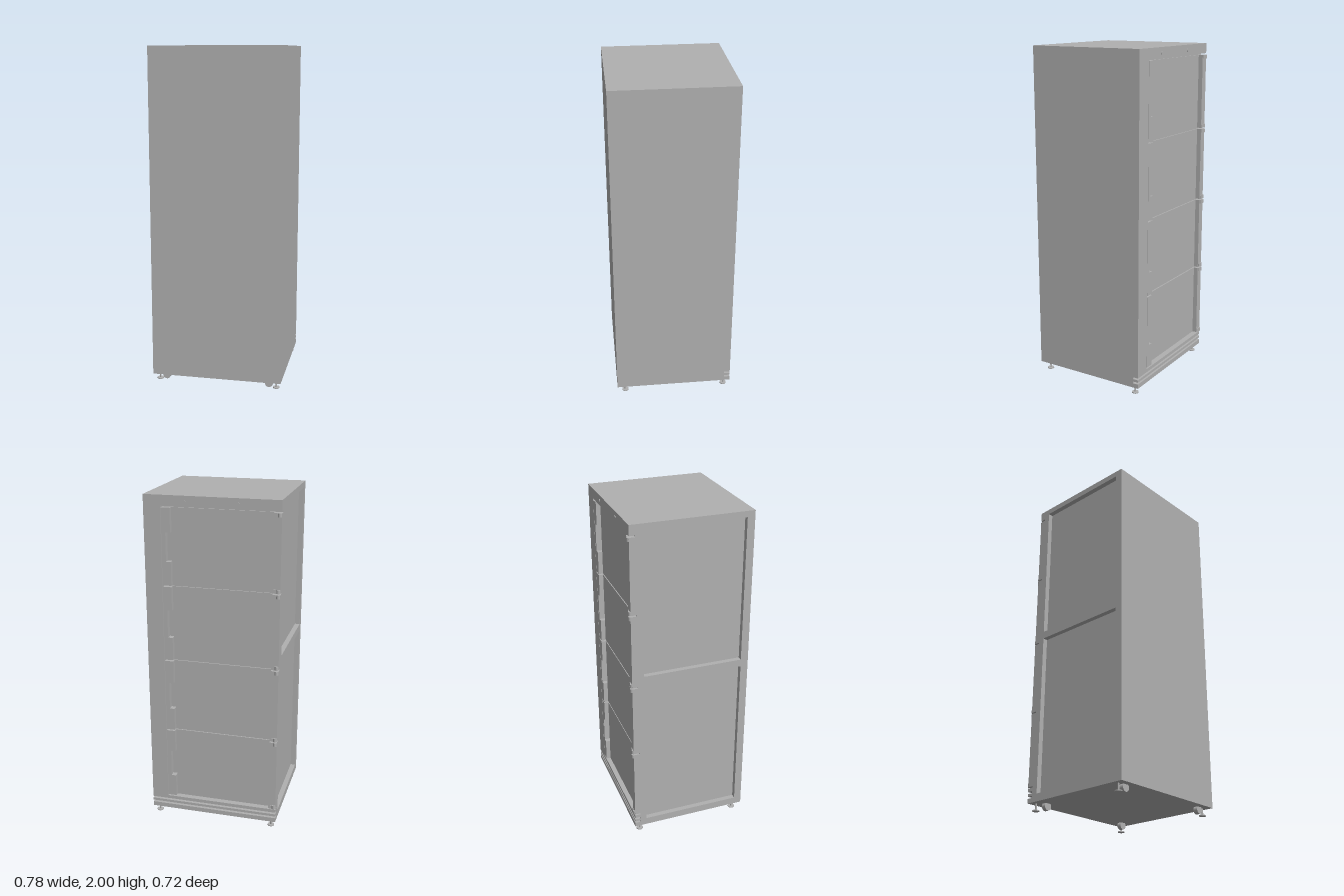
import * as THREE from 'three';

const grey = new THREE.MeshStandardMaterial({ color: 0xb0b0b0 });
grey.name = 'cabinet grey';

export function createModel() {
  const root = new THREE.Group();
  root.name = 'lockerCabinet';

  const add = (name, geo, parent = root) => {
    const m = new THREE.Mesh(geo, grey);
    m.name = name;
    parent.add(m);
    return m;
  };
  // Box given by its limits on each axis
  const block = (name, x0, x1, y0, y1, z0, z1, parent) =>
    add(name, new THREE.BoxGeometry(x1 - x0, y1 - y0, z1 - z0), parent)
      .position.set((x0 + x1) / 2, (y0 + y1) / 2, (z0 + z1) / 2);
  const cyl = (name, r, h, x, y, z, parent) => {
    const m = add(name, new THREE.CylinderGeometry(r, r, h, 24), parent);
    m.position.set(x, y, z);
    return m;
  };
  const rect = (T, a0, a1, b0, b1) => {
    const s = new T();
    s.moveTo(a0, b0);
    s.lineTo(a1, b0);
    s.lineTo(a1, b1);
    s.lineTo(a0, b1);
    s.closePath();
    return s;
  };

  const W = 0.39, FRONT = 0.36, BACK = -0.352, CORE = -0.317, BASE = 0.045, TOP = 2;

  // Main carcass: plain front, top and right side
  block('carcass', -0.36, W, BASE, TOP, CORE, FRONT);

  // Left side frame with two recessed panels
  const side = rect(THREE.Shape, -FRONT, -CORE, BASE, TOP);
  side.holes.push(rect(THREE.Path, -0.315, 0.28, 0.09, 1.055));
  side.holes.push(rect(THREE.Path, -0.315, 0.28, 1.1, 1.965));
  const sideGeo = new THREE.ExtrudeGeometry(side, { depth: 0.03, bevelEnabled: false });
  sideGeo.rotateY(Math.PI / 2).translate(-W, 0, 0);
  add('sideFrame', sideGeo);

  // Fixed back surround: top rail, latch post and slotted plinth
  block('topRail', -W, W, 1.94, TOP, BACK, CORE);
  block('latchPost', 0.291, W, 0.111, 1.94, BACK, CORE);
  for (const [y0, y1] of [[BASE, 0.072], [0.084, 0.099]])
    block('plinthSlat', -W, W, y0, y1, BACK, CORE);
  block('bottomRail', -W, 0.291, 0.111, 0.131, BACK, CORE);

  // Rivets on the top rail
  for (const x of [-0.15, 0.15])
    cyl('rivet', 0.009, 0.004, x, 1.968, BACK - 0.001).rotation.x = Math.PI / 2;

  // Four doors, hinged on the left side
  const H = 0.45;
  for (let i = 0; i < 4; i++) {
    const door = new THREE.Group();
    door.name = 'door' + (i + 1);
    root.add(door);
    const y0 = 0.135 + i * H + 0.004, y1 = 0.135 + (i + 1) * H - 0.004, c = (y0 + y1) / 2;

    // Latch stile with a finger notch
    const s = new THREE.Shape();
    [[0.237, y0], [0.288, y0], [0.288, y1], [0.237, y1], [0.237, c + 0.083],
      [0.265, c + 0.083], [0.265, c - 0.083], [0.237, c - 0.083]]
      .forEach(([x, y], k) => (k ? s.lineTo(x, y) : s.moveTo(x, y)));
    s.closePath();
    const g = new THREE.ExtrudeGeometry(s, { depth: CORE - BACK, bevelEnabled: false });
    add('latchStile', g.translate(0, 0, BACK), door);

    block('hingeStile', -W, -0.345, y0, y1, BACK, CORE, door);
    block('doorPanel', -0.345, 0.237, y0, y1, -0.325, CORE, door);

    // Hinge at the top and bottom of the door
    for (const y of [y0 + 0.011, y1 - 0.011]) {
      cyl('hingeBarrel', 0.0115, 0.022, -0.3785, y, -0.3505, door);
      block('hingeLeaf', -0.378, -0.352, y - 0.011, y + 0.011, -0.356, -0.35, door);
    }
  }

  // Levelling feet and castors
  for (const sx of [-1, 1]) {
    for (const z of [0.31, -0.315]) {
      cyl('footPad', 0.02, 0.006, sx * 0.358, 0.003, z);
      cyl('footStem', 0.005, 0.05, sx * 0.358, 0.025, z);
    }
    for (const z of [0.31, -0.275])
      cyl('castor', 0.024, 0.026, sx * 0.315, 0.029, z).rotation.x = Math.PI / 2;
  }
  return root;
}
